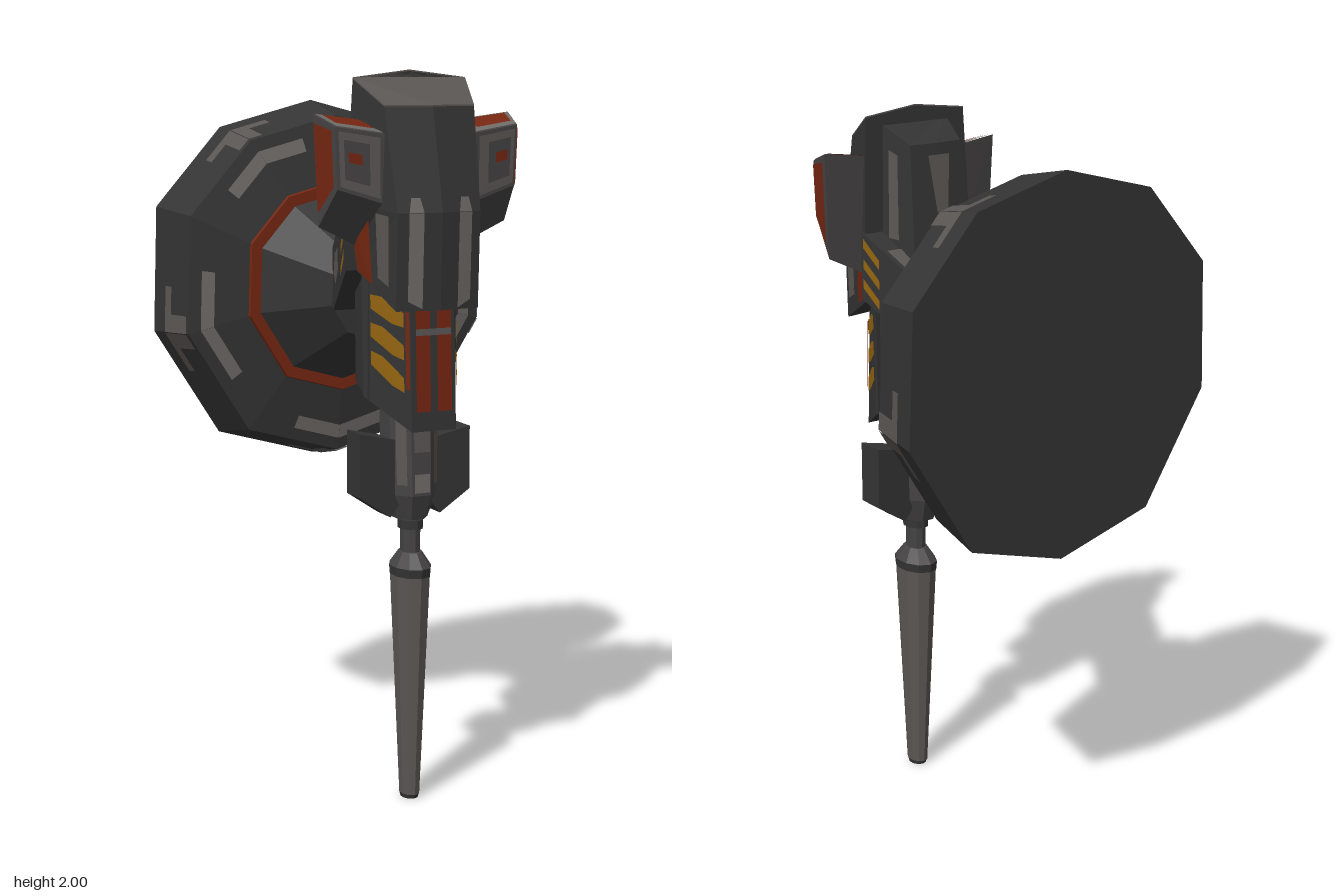
import * as THREE from 'three';

const mat = (name, color) => {
  const m = new THREE.MeshStandardMaterial({ color, flatShading: true, side: THREE.DoubleSide });
  m.name = name;
  return m;
};

const flat = (tris) => {
  const g = new THREE.BufferGeometry();
  g.setAttribute('position', new THREE.Float32BufferAttribute(tris.flat(2), 3));
  g.computeVertexNormals();
  return g;
};

// Closed solid through cross-sections, turned so that its faces point outward
function loft(rings) {
  const tris = [], n = rings[0].length, last = rings.length - 1;
  for (let r = 0; r < last; r++) {
    for (let i = 0; i < n; i++) {
      const j = (i + 1) % n, A = rings[r], B = rings[r + 1];
      tris.push([A[i], A[j], B[j]], [A[i], B[j], B[i]]);
    }
  }
  for (let i = 1; i < n - 1; i++) {
    tris.push([rings[0][0], rings[0][i + 1], rings[0][i]]);
    tris.push([rings[last][0], rings[last][i], rings[last][i + 1]]);
  }
  const v = (p) => new THREE.Vector3(...p);
  const volume = tris.reduce((s, [a, b, c]) => s + v(a).dot(v(b).cross(v(c))), 0);
  return flat(volume < 0 ? tris.map(([a, b, c]) => [a, c, b]) : tris);
}

// Thin painted polygon in the u,v space of a four-cornered facet
function patch(quad, uv, lift = 0.005) {
  const [A, B, C, D] = quad.map((p) => new THREE.Vector3(...p));
  const n = B.clone().sub(A).cross(D.clone().sub(A)).normalize().multiplyScalar(lift);
  const pts = uv.map(([u, w]) =>
    A.clone().lerp(B, u).lerp(D.clone().lerp(C, u), w).add(n).toArray());
  const tris = [];
  for (let i = 1; i < pts.length - 1; i++) tris.push([pts[0], pts[i], pts[i + 1]]);
  return flat(tris);
}
const rect = (u0, u1, v0, v1) => [[u0, v0], [u1, v0], [u1, v1], [u0, v1]];

function mirrored(geo) {
  const g = geo.clone(), p = g.attributes.position;
  for (let i = 0; i < p.count; i += 3) {
    const t = [0, 2, 1].map((k) => [-geo.attributes.position.getX(i + k),
      geo.attributes.position.getY(i + k), geo.attributes.position.getZ(i + k)]);
    t.forEach((q, k) => p.setXYZ(i + k, ...q));
  }
  g.computeVertexNormals();
  return g;
}

export function createModel() {
  const model = new THREE.Group();
  model.name = 'model';
  const dark = mat('dark metal', 0x343434);
  const mid = mat('mid grey metal', 0x454343);
  const steel = mat('steel', 0x5a5654);
  const pale = mat('worn pale grey', 0x6e6a68);
  const red = mat('rust red', 0x752611);
  const orange = mat('hazard orange', 0x94640f);

  const add = (name, geo, m) => {
    const mesh = new THREE.Mesh(geo, m);
    mesh.name = name;
    model.add(mesh);
    return mesh;
  };
  const both = (name, geo, m) => {
    add(name + 'Left', geo, m);
    add(name + 'Right', mirrored(geo), m);
  };

  // Ten-sided dish at the back
  const half = [[0.285, 0.45], [0.482, 0.227], [0.495, -0.13], [0.3, -0.44]];
  const outline = [[0, 0.525], ...half, [0, -0.525],
    ...half.slice().reverse().map(([x, y]) => [-x, y])];
  const P = (i, s, z) => {
    const [x, y] = outline[(i + 10) % 10];
    return [x * s, 1.39 + y * s, z];
  };
  const ring = (s, z) => outline.map((_, i) => P(i, s, z));
  add('dish', loft([ring(1, -0.43), ring(0.925, -0.245), ring(0.58, -0.215)]), dark);
  add('dishRedRing', loft([ring(0.585, -0.225), ring(0.575, -0.205)]), red);
  add('dishCone', loft([ring(0.52, -0.21), ring(0.245, -0.005)]), dark);

  // Worn strips that bend around every other corner of the dish
  const facet = (i, s0, z0, s1, z1) =>
    [P(i + 1, s0, z0), P(i, s0, z0), P(i, s1, z1), P(i + 1, s1, z1)];
  for (let i = 1; i < 10; i += 2) {
    for (const [edge, end] of [[i, 1], [i - 1, 0]]) {
      const span = (len, v0, v1) => (end ? rect(1 - len, 1, v0, v1) : rect(0, len, v0, v1));
      const face = facet(edge, 0.925, -0.245, 0.58, -0.215);
      const rim = facet(edge, 1, -0.43, 0.925, -0.245);
      add('dishFaceStrip', patch(face, span(0.55, 0.2, 0.42)), pale);
      add('dishRimStrip', patch(rim, span(0.38, 0.36, 0.53)), steel);
      add('dishRimStripStem', patch(rim, span(0.15, 0.53, 0.97)), steel);
    }
  }

  // Arm joining dish and body
  const section = (w, y0, y1, z) => [[-w, y0, z], [w, y0, z], [w, y1, z], [-w, y1, z]];
  add('arm', loft([section(0.115, 1.34, 1.52, -0.015), section(0.185, 1.48, 1.67, 0.23)]), dark);
  const armSide = [[0.185, 1.48, 0.23], [0.115, 1.34, -0.015], [0.115, 1.52, -0.015], [0.185, 1.67, 0.23]];
  for (const v of [0.08, 0.38, 0.68]) {
    both('armStripe', patch(armSide, [[0.04, v + 0.12], [0.26, v], [0.26, v + 0.14], [0.04, v + 0.26]]), orange);
  }
  both('armWear', patch(armSide, [[0.45, 0.3], [0.65, 0.2], [0.78, 0.45], [0.7, 0.7], [0.5, 0.65]]), steel);
  const armTop = [[0, 1.67, 0.23], [0.185, 1.67, 0.23], [0.115, 1.52, -0.015], [0, 1.52, -0.015]];
  both('armTopWear', patch(armTop, rect(0.62, 0.95, 0.32, 0.68)), steel);

  // Back spine
  const spine = (y, yf, w, z) => [[-w - 0.03, yf, 0.25], [w + 0.03, yf, 0.25], [w, y, z], [0, y, z - 0.006], [-w, y, z]];
  add('spine', loft([spine(1.16, 1.13, 0.1, 0.105), spine(1.6, 1.6, 0.1, 0.095), spine(1.91, 1.965, 0.085, 0.135)]), dark);
  const spineSide = [[0.13, 1.6, 0.25], [0.1, 1.6, 0.095], [0.085, 1.91, 0.135], [0.115, 1.965, 0.25]];
  both('spineWear', patch(spineSide, rect(0.4, 0.65, 0.15, 0.85)), steel);
  add('spineBackWear', patch([[0.1, 1.6, 0.089], [-0.1, 1.6, 0.089], [-0.085, 1.91, 0.129], [0.085, 1.91, 0.129]],
    [[0.4, 0.4], [0.6, 0.4], [0.7, 0.9], [0.3, 0.9]]), steel);

  // Lower body with stripes
  const fb = [0.065, 1.06, 0.385], sb = [0.135, 1.14, 0.23];
  const ft = [0.065, 1.5, 0.368], st = [0.14, 1.5, 0.23];
  const neg = ([x, y, z]) => [-x, y, z];
  add('lowerBody', loft([[neg(fb), fb, sb, neg(sb)], [neg(ft), ft, st, neg(st)]]), dark);
  const lowerFront = [neg(fb), fb, ft, neg(ft)];
  both('redStripe', patch(lowerFront, rect(0.58, 0.9, 0.12, 0.58)), red);
  both('redStripeUpper', patch(lowerFront, rect(0.58, 0.9, 0.62, 0.74)), red);
  add('stripeWear', patch(lowerFront, rect(0.1, 0.9, 0.58, 0.62)), steel);
  const lowerSide = [fb, sb, st, ft];
  for (const v of [0.22, 0.42, 0.62]) {
    both('orangeStripe', patch(lowerSide, [[0.12, v], [0.35, v], [0.8, v + 0.06], [0.8, v + 0.16], [0.55, v + 0.16], [0.12, v + 0.09]]), orange);
  }
  both('redEdge', patch(lowerSide, rect(0.0, 0.08, 0.25, 0.72)), red);

  // Upper block with sloping cap
  const block = (yb, yf, wb, wf, zb, zf, peak) => [[-wb, yb, zb], [-wf, yf, zf], [0, yf, zf + 0.02],
    [wf, yf, zf], [wb, yb, zb], [0, yb + peak, zb]];
  const b0 = block(1.48, 1.385, 0.155, 0.12, 0.23, 0.4, 0);
  const b1 = block(1.66, 1.64, 0.18, 0.12, 0.22, 0.41, 0);
  const b2 = block(1.98, 1.91, 0.165, 0.13, 0.23, 0.35, 0.02);
  add('upperBlock', loft([b0, b1, b2]), dark);
  const cap = b2.map(([x, y, z]) => [x, y + 0.004, z]);
  add('capTop', loft([b2, cap]), steel);
  const blockFront = [b0[2], b0[3], b1[3], b1[2]];
  both('frontWear', patch(blockFront, [[0.42, 0.02], [0.75, 0.1], [0.75, 1], [0.42, 1]]), pale);
  both('frontWearTop', patch([b1[2], b1[3], b2[3], b2[2]], [[0.42, 0], [0.75, 0], [0.68, 0.14], [0.48, 0.14]]), pale);
  const blockSide = [b0[3], b0[4], b1[4], b1[3]];
  both('sideRed', patch(blockSide, rect(0.55, 0.92, 0.05, 0.85)), red);
  both('sideWear', patch(blockSide, rect(0.15, 0.4, 0.2, 0.95)), steel);

  // Side pods with red panels
  const podLow = [[0.13, 1.53, 0.24], [0.275, 1.6, 0.255], [0.258, 1.7, 0.34], [0.13, 1.66, 0.355]];
  const podTop = [[0.13, 1.87, 0.235], [0.287, 1.89, 0.25], [0.265, 1.86, 0.34], [0.13, 1.84, 0.355]];
  both('pod', loft([podLow, podTop]), mid);
  const podFront = [podLow[3], podLow[2], podTop[2], podTop[3]];
  both('podFrontPanel', patch(podFront, rect(0.1, 0.94, 0.06, 0.94), 0.003), steel);
  both('podFrontInset', patch(podFront, rect(0.32, 0.84, 0.2, 0.82), 0.005), mid);
  both('podFrontDot', patch(podFront, rect(0.48, 0.76, 0.48, 0.64), 0.007), red);
  both('podSidePanel', patch([podLow[2], podLow[1], podTop[1], podTop[2]], rect(0.1, 0.92, 0.1, 0.93)), red);
  both('podTopRim', patch([podTop[3], podTop[2], podTop[1], podTop[0]], rect(0.02, 0.98, 0.02, 0.98), 0.003), pale);
  both('podTopPanel', patch([podTop[3], podTop[2], podTop[1], podTop[0]], rect(0.15, 0.9, 0.2, 0.86), 0.006), red);

  // Grip housing below the body
  const oct = (y, rx, rz, z = 0.235) => [...Array(8)].map((_, i) => {
    const a = (i + 0.5) * Math.PI / 4;
    return [Math.cos(a) * rx * 1.08, y, z + Math.sin(a) * rz * 1.08];
  });
  add('gripHousing', loft([oct(0.8, 0.045, 0.055), oct(0.87, 0.068, 0.08), oct(1.17, 0.075, 0.075, 0.23)]), mid);
  const low = oct(0.87, 0.068, 0.08), high = oct(1.17, 0.075, 0.075, 0.23);
  add('gripFrontWear', patch([low[2], low[1], high[1], high[2]], rect(0.1, 0.9, 0.03, 0.2)), pale);
  add('gripFrontWearUpper', patch([low[2], low[1], high[1], high[2]], rect(0.1, 0.9, 0.4, 0.75)), steel);
  both('gripSideWear', patch([low[1], low[0], high[0], high[1]], rect(0.2, 0.7, 0.1, 0.85)), steel);

  // Side fins on the grip
  const fin = (z) => [[0.05, 1.02, z], [0.165, 1.045, z], [0.165, 0.87, z], [0.075, 0.81, z], [0.05, 0.84, z]];
  both('gripFin', loft([fin(0.19), fin(0.275)]), dark);

  // Neck, collar and tapering lance
  const turned = (name, rTop, rBottom, y0, y1, zScale, m) => {
    const mesh = add(name, new THREE.CylinderGeometry(rTop, rBottom, y1 - y0, 10), m);
    mesh.scale.z = zScale;
    mesh.position.set(0, (y0 + y1) / 2, 0.243);
  };
  turned('neck', 0.028, 0.026, 0.68, 0.81, 1.25, mid);
  turned('neckBand', 0.034, 0.034, 0.77, 0.795, 1.3, dark);
  turned('collar', 0.03, 0.055, 0.665, 0.705, 1.4, mid);
  turned('collarRim', 0.055, 0.053, 0.64, 0.665, 1.4, dark);
  turned('lance', 0.053, 0.027, 0.012, 0.64, 1.35, steel);
  turned('lanceTip', 0.027, 0.024, 0, 0.012, 1.25, dark);

  return model;
}
